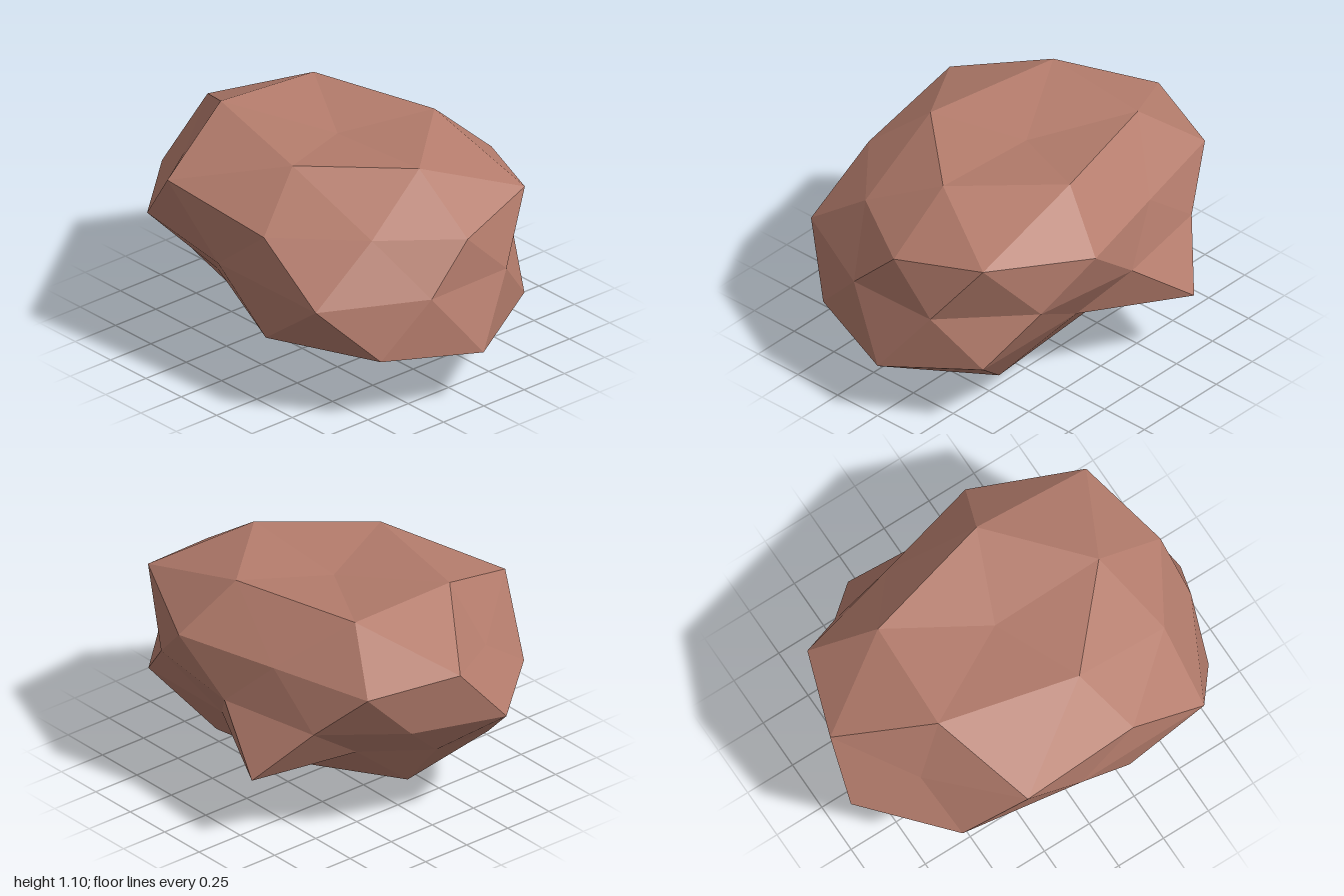
import * as THREE from 'three';

// Each ring of the rock: latitude in degrees, first azimuth, step, and how far every corner bulges.
// The two ten-sided rings beside the equator alternate between two latitudes.
const RINGS = [
  { lat: [90], start: 0, r: [0.86] },
  { lat: [58.28], start: 0, r: [1.10, 1.125, 1.18, 1.12, 1.13] },
  { lat: [26.57, 31.72], start: 0, r: [1.03, 1.0, 1.085, 1.225, 0.91, 1.08, 1.055, 0.895, 1.055, 1.17] },
  { lat: [0], start: 18, r: [0.985, 1.165, 0.95, 1.03, 1.012, 0.85, 0.894, 0.853, 0.935, 0.975] },
  { lat: [-31.72, -26.57], start: 0, r: [1.215, 1.20, 1.11, 0.82, 0.97, 0.83, 0.74, 1.155, 0.80, 1.11] },
  { lat: [-58.28], start: 36, r: [0.93, 0.975, 1.02, 0.9, 1.195] },
  { lat: [-90], start: 0, r: [1.2] },
];
const SCALE = new THREE.Vector3(1, 0.5, 0.78);
const CENTRE = new THREE.Vector3(-0.035, 0.602, 0);

function makeRing({ lat, start, r }) {
  return r.map((radius, i) => {
    const a = THREE.MathUtils.degToRad(start + (i * 360) / r.length);
    const b = THREE.MathUtils.degToRad(lat[i % lat.length]);
    return new THREE.Vector3(Math.cos(b) * Math.cos(a), Math.sin(b), Math.cos(b) * Math.sin(a))
      .multiplyScalar(radius).multiply(SCALE);
  });
}

function rockGeometry() {
  const rings = RINGS.map(makeRing);
  const points = [];
  const at = (ring, i) => rings[ring][(i + rings[ring].length) % rings[ring].length];

  // Adds a triangle, turned so that it faces away from the centre
  const face = (a, b, c) => {
    const outward = b.clone().sub(a).cross(c.clone().sub(a)).dot(a.clone().add(b).add(c)) > 0;
    points.push(a, ...(outward ? [b, c] : [c, b]));
  };

  // Caps: a five-sided fan, then a belt widening from five corners to ten
  const cap = (pole, five, ten, shift) => {
    for (let k = 0; k < 5; k++) {
      const j = 2 * k + shift;
      face(at(pole, 0), at(five, k), at(five, k + 1));
      face(at(five, k), at(five, k + 1), at(ten, j + 1));
      face(at(five, k), at(ten, j), at(ten, j + 1));
      face(at(five, k + 1), at(ten, j + 1), at(ten, j + 2));
    }
  };
  cap(0, 1, 2, 0);
  cap(6, 5, 4, 1);

  // Zigzag belts above and below the equator
  for (let j = 0; j < 10; j++) {
    for (const ring of [2, 4]) {
      face(at(ring, j), at(ring, j + 1), at(3, j));
      face(at(ring, j + 1), at(3, j), at(3, j + 1));
    }
  }

  const geometry = new THREE.BufferGeometry().setFromPoints(points);
  geometry.translate(CENTRE.x, CENTRE.y, CENTRE.z);
  geometry.computeVertexNormals();
  return geometry;
}

export function createModel() {
  const group = new THREE.Group();
  group.name = 'rock';
  const stone = new THREE.MeshStandardMaterial({ color: 0xb47c6c, flatShading: true });
  stone.name = 'reddish stone';
  const boulder = new THREE.Mesh(rockGeometry(), stone);
  boulder.name = 'boulder';
  group.add(boulder);
  return group;
}
